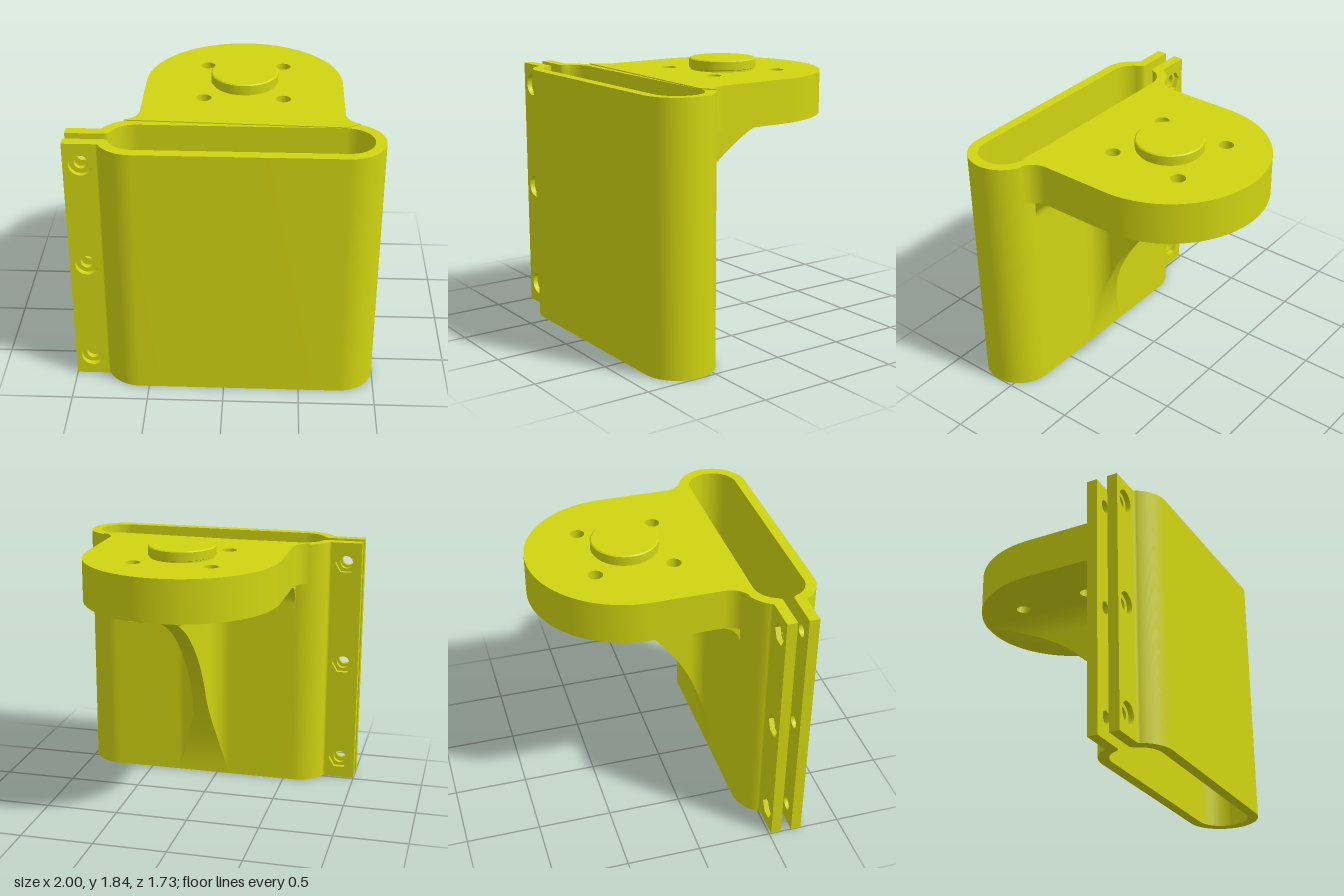
import * as THREE from 'three';
import { toCreasedNormals } from 'three/addons/utils/BufferGeometryUtils.js';

const PI = Math.PI;
const H = 1.755;                         // sleeve height
const CX = 0.1, R = 0.66;                // plate centre line and half width
const XL = CX - R, XR = CX + R;
const ZC = 0.622, RO = 0.24, RI = 0.17;  // sleeve centre and radii
const WALL = ZC - RO;                    // back face of the sleeve
const UNDER = 1.475, FR = 0.14;          // plate underside, fillet radius

export function createModel() {
  const group = new THREE.Group();
  const material = new THREE.MeshStandardMaterial({ color: 0xd0d410 });

  const add = (name, geometry) => {
    const mesh = new THREE.Mesh(geometry, material);
    mesh.name = name;
    group.add(mesh);
    return mesh;
  };
  const extrude = (shape, depth) => toCreasedNormals(
    new THREE.ExtrudeGeometry(shape, { depth, bevelEnabled: false, curveSegments: 32 }), 0.5);
  // Upright prism from a plan drawn in (x, z)
  const prism = (shape, y0, y1) => extrude(shape, y1 - y0).rotateX(PI / 2).translate(0, y1, 0);
  const hole = (x, y, r, sides = 0) => {
    const p = new THREE.Path();
    if (!sides) return p.absarc(x, y, r, 0, 2 * PI, true);
    for (let i = 0; i < sides; i++) {
      const a = -i * 2 * PI / sides;
      p[i ? 'lineTo' : 'moveTo'](x + r * Math.cos(a), y + r * Math.sin(a));
    }
    p.closePath();
    return p;
  };

  // Split clamp sleeve
  const a = 0.576, b = 0.57, gap = 0.037, lip = 0.107;
  const sleeve = new THREE.Shape();
  sleeve.moveTo(-0.785, -lip);
  sleeve.quadraticCurveTo(-0.772, -lip, XL - RO * Math.cos(a), -RO * Math.sin(a));
  sleeve.absarc(XL, 0, RO, PI + a, 1.5 * PI, false);
  sleeve.absarc(XR, 0, RO, -PI / 2, PI / 2, false);
  sleeve.absarc(XL, 0, RO, PI / 2, PI - a, false);
  sleeve.quadraticCurveTo(-0.772, lip, -0.785, lip);
  sleeve.lineTo(-0.785, gap);
  sleeve.lineTo(-0.745, gap);
  sleeve.quadraticCurveTo(-0.725, gap, XL - RI * Math.cos(b), RI * Math.sin(b));
  sleeve.absarc(XL, 0, RI, PI - b, PI / 2, true);
  sleeve.absarc(XR, 0, RI, PI / 2, -PI / 2, true);
  sleeve.absarc(XL, 0, RI, 1.5 * PI, PI + b, true);
  sleeve.quadraticCurveTo(-0.725, -gap, -0.745, -gap);
  sleeve.lineTo(-0.785, -gap);
  sleeve.closePath();
  add('clampSleeve', prism(sleeve, 0, H).translate(0, 0, ZC));

  // Bolt flanges: each has a drilled layer and a recessed layer
  const flangeLayer = (name, z0, z1, r, sides) => {
    const s = new THREE.Shape();
    s.moveTo(-1, 0).lineTo(-0.785, 0).lineTo(-0.785, H).lineTo(-1, H).closePath();
    for (const y of [0.145, 0.875, 1.61]) s.holes.push(hole(-0.89, y, r, sides));
    add(name, extrude(s, z1 - z0).translate(0, 0, ZC + z0));
  };
  flangeLayer('frontFlange', gap, 0.072, 0.044);
  flangeLayer('frontFlangeCounterbores', 0.072, lip, 0.075);
  flangeLayer('backFlange', -0.072, -gap, 0.044);
  flangeLayer('backFlangeNutPockets', -lip, -0.072, 0.075, 6);

  // Mounting plate with rounded back and corner fillets into the sleeve
  const PZ = -0.205;
  const fz = ZC - Math.sqrt((RO + FR) ** 2 - FR ** 2);
  const fa = Math.atan2(ZC - fz, FR);
  const plate = new THREE.Shape();
  plate.moveTo(XL, ZC - RI);
  plate.absarc(XL - FR, fz, FR, fa, 0, true);
  plate.absarc(CX, PZ, R, PI, 2 * PI, false);
  plate.absarc(XR + FR, fz, FR, PI, PI - fa, true);
  plate.lineTo(XR, ZC - RI);
  plate.closePath();
  for (const x of [-0.26, 0.26]) for (const z of [-0.26, 0.26])
    plate.holes.push(hole(CX + x, PZ + z, 0.05));
  add('mountingPlate', prism(plate, UNDER, 1.762));

  // Round locating boss
  const bossProfile = [[0.215, 1.75], [0.215, 1.772], [0.225, 1.776], [0.225, 1.833], [0.217, 1.84], [0, 1.84]]
    .map(([r, y]) => new THREE.Vector2(r, y));
  add('locatingBoss', toCreasedNormals(new THREE.LatheGeometry(bossProfile, 64), 0.5))
    .position.set(CX, 0, PZ);

  // Fillet under the plate, profile in (-z, y)
  const fillet = new THREE.Shape();
  fillet.moveTo(-WALL - 0.03, UNDER + 0.02);
  fillet.lineTo(-WALL - 0.03, UNDER - FR);
  fillet.absarc(-WALL + FR, UNDER - FR, FR, PI, PI / 2, true);
  fillet.lineTo(-WALL + FR, UNDER + 0.02);
  fillet.closePath();
  add('underPlateFillet', extrude(fillet, 2 * R).rotateY(PI / 2).translate(XL, 0, 0));

  // Curved gusset rib, flaring into the sleeve and the plate
  const RA = 1.494, HALF = 0.05, N = 64, M = 24;
  const halfWidth = (z, y) => {
    const d1 = WALL - z, d2 = UNDER - y;
    const d = d1 < FR && d2 < FR ? FR - Math.hypot(FR - d1, FR - d2) : Math.min(d1, d2);
    const k = FR - Math.min(FR, Math.max(0, d));
    return HALF + FR - Math.sqrt(Math.max(0, FR * FR - k * k));
  };
  const ribPoint = (i, s) => {
    const y = UNDER * (1 - (1 - i / N) ** 2);
    const edge = WALL - RA + Math.sqrt(RA * RA - y * y);
    const z = WALL - (WALL - edge) * s * s;
    const h = halfWidth(z, y);
    return [h, y, Math.max(z, PZ - Math.sqrt(R * R - h * h))];
  };
  const grid = (cols, point, flip) => {
    const pos = [], idx = [];
    for (let i = 0; i <= N; i++) for (let j = 0; j <= cols; j++) {
      pos.push(...point(i, j));
      if (i === N || j === cols) continue;
      const p = i * (cols + 1) + j, q = p + cols + 1;
      idx.push(...(flip ? [p, q, p + 1, p + 1, q, q + 1] : [p, p + 1, q, p + 1, q + 1, q]));
    }
    const g = new THREE.BufferGeometry();
    g.setAttribute('position', new THREE.Float32BufferAttribute(pos, 3));
    g.setIndex(idx);
    g.computeVertexNormals();
    return g;
  };
  for (const side of [-1, 1]) {
    add(side > 0 ? 'ribLeftFace' : 'ribRightFace', grid(M, (i, j) => {
      const [h, y, z] = ribPoint(i, j / M);
      return [CX + side * h, y, z];
    }, side < 0));
  }
  add('ribCurvedEdge', grid(1, (i, j) => {
    const [h, y, z] = ribPoint(i, 1);
    return [CX + (j ? h : -h), y, z];
  }, true));

  return group;
}
